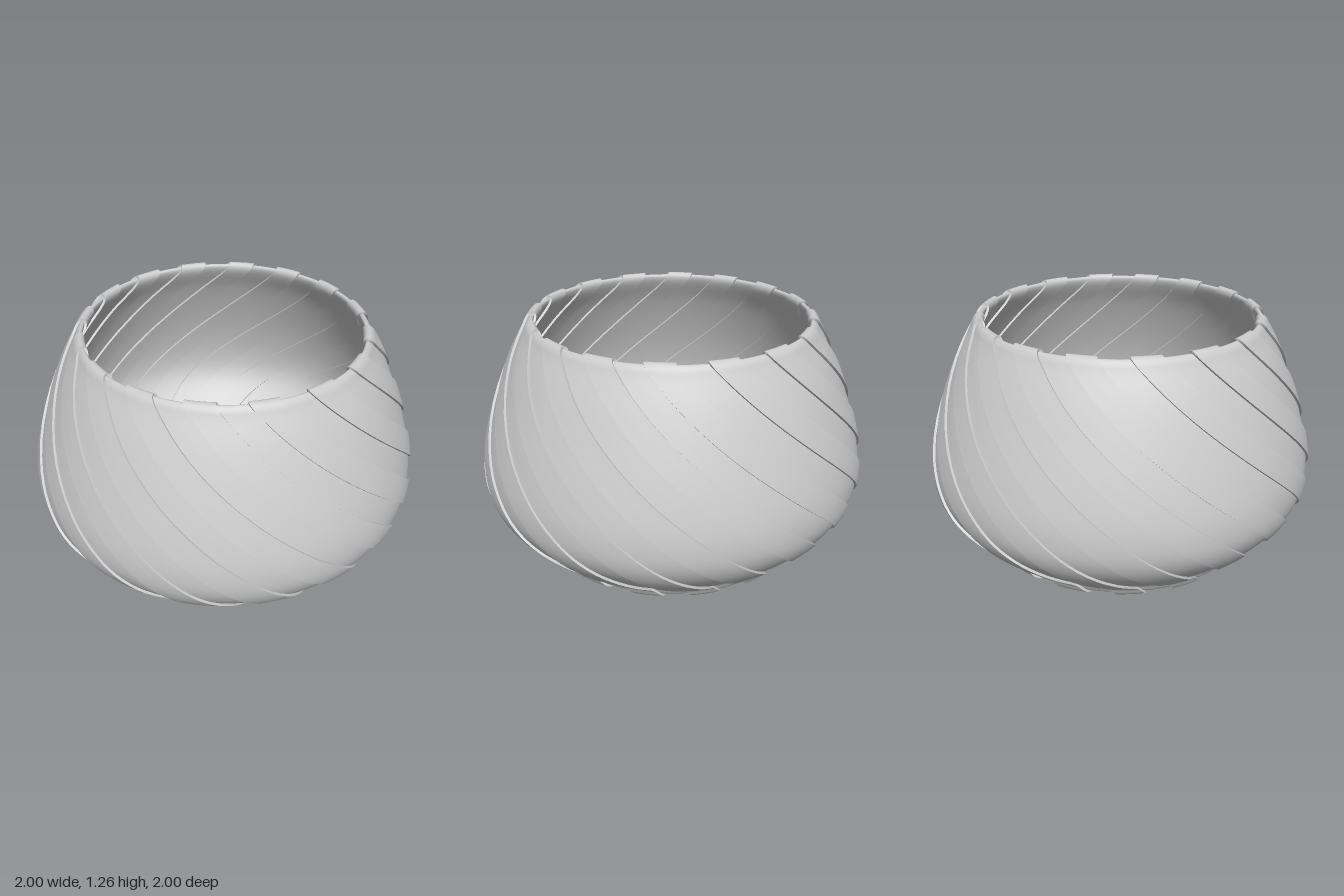
import * as THREE from 'three';

const PAIRS = 16;            // one raised and one recessed strip per pair
const STEP = Math.PI / PAIRS; // angular width of a strip
const RAISE = 0.012;         // how far raised strips stand proud
const HEIGHT = 1.26;
const TWIST = Math.PI / 2;   // turn of a strip from rim to base
const ROWS = 110;

// Closed wall section [radius, height]: underside, outer wall, lip, inner wall, floor
const section = [
  [0, 0.012], [0.35, 0.02], [0.6, 0.033], [0.69, 0.042], [0.722, 0.062], [0.745, 0.105],
  [0.8, 0.152], [0.873, 0.22], [0.942, 0.305], [0.978, 0.385], [0.988, 0.47], [0.978, 0.58],
  [0.934, 0.75], [0.864, 0.94], [0.796, 1.09], [0.735, 1.2], [0.718, 1.232], [0.7, 1.247],
  [0.689, 1.24], [0.694, 1.21],
  [0.763, 1.09], [0.832, 0.94], [0.902, 0.75], [0.944, 0.58], [0.954, 0.47], [0.945, 0.395],
  [0.912, 0.322], [0.85, 0.245], [0.778, 0.178], [0.722, 0.125], [0.695, 0.085],
  [0.67, 0.073], [0.6, 0.066], [0.35, 0.053], [0, 0.045],
];

// Sample the section; each sample keeps its outward normal
function sampleSection() {
  const curve = new THREE.CatmullRomCurve3(
    section.map(([r, y]) => new THREE.Vector3(r, y, 0)), false, 'centripetal');
  return Array.from({ length: ROWS + 1 }, (_, i) => {
    const p = curve.getPoint(i / ROWS), t = curve.getTangent(i / ROWS);
    return { r: p.x, y: p.y, nr: t.y, ny: -t.x };
  });
}

// Point of the twisted wall at an angle, pushed out along the section normal
function wallPoint(s, angle, out) {
  const a = angle + TWIST * (1 - s.y / HEIGHT);
  const r = s.r < 0.001 ? 0 : Math.max(0, s.r + s.nr * out);
  return [r * Math.sin(a), s.y + s.ny * out, r * Math.cos(a)];
}

// Skin a grid whose columns are (angle, offset) pairs
function skin(samples, columns) {
  const pos = [], index = [], n = columns.length;
  samples.forEach((s) => columns.forEach(([a, out]) => pos.push(...wallPoint(s, a, out))));
  for (let i = 0; i < samples.length - 1; i++) {
    for (let j = 0; j < n - 1; j++) {
      const a = i * n + j, b = a + 1, c = a + n, d = c + 1;
      index.push(a, b, c, b, d, c);
    }
  }
  const g = new THREE.BufferGeometry();
  g.setAttribute('position', new THREE.Float32BufferAttribute(pos, 3));
  g.setIndex(index);
  g.computeVertexNormals();
  return g;
}

export function createModel() {
  const group = new THREE.Group();
  group.name = 'twistedBowl';
  const material = new THREE.MeshStandardMaterial({ color: 0xcccccc, side: THREE.DoubleSide });
  const samples = sampleSection();
  const across = (start, out) => [0, 1, 2, 3].map((k) => [start + STEP * k / 3, out]);

  // Shared parts: two kinds of strip and the two small steps between them
  const parts = {
    raisedStrip: skin(samples, across(0, RAISE)),
    recessedStrip: skin(samples, across(STEP, 0)),
    leadingStep: skin(samples, [[0, 0], [0, RAISE]]),
    trailingStep: skin(samples, [[STEP, RAISE], [STEP, 0]]),
  };

  for (let i = 0; i < PAIRS; i++) {
    const pair = new THREE.Group();
    pair.name = 'stripPair' + (i + 1);
    pair.rotation.y = i * 2 * STEP;
    for (const [name, geometry] of Object.entries(parts)) {
      const mesh = new THREE.Mesh(geometry, material);
      mesh.name = name;
      pair.add(mesh);
    }
    group.add(pair);
  }
  return group;
}
